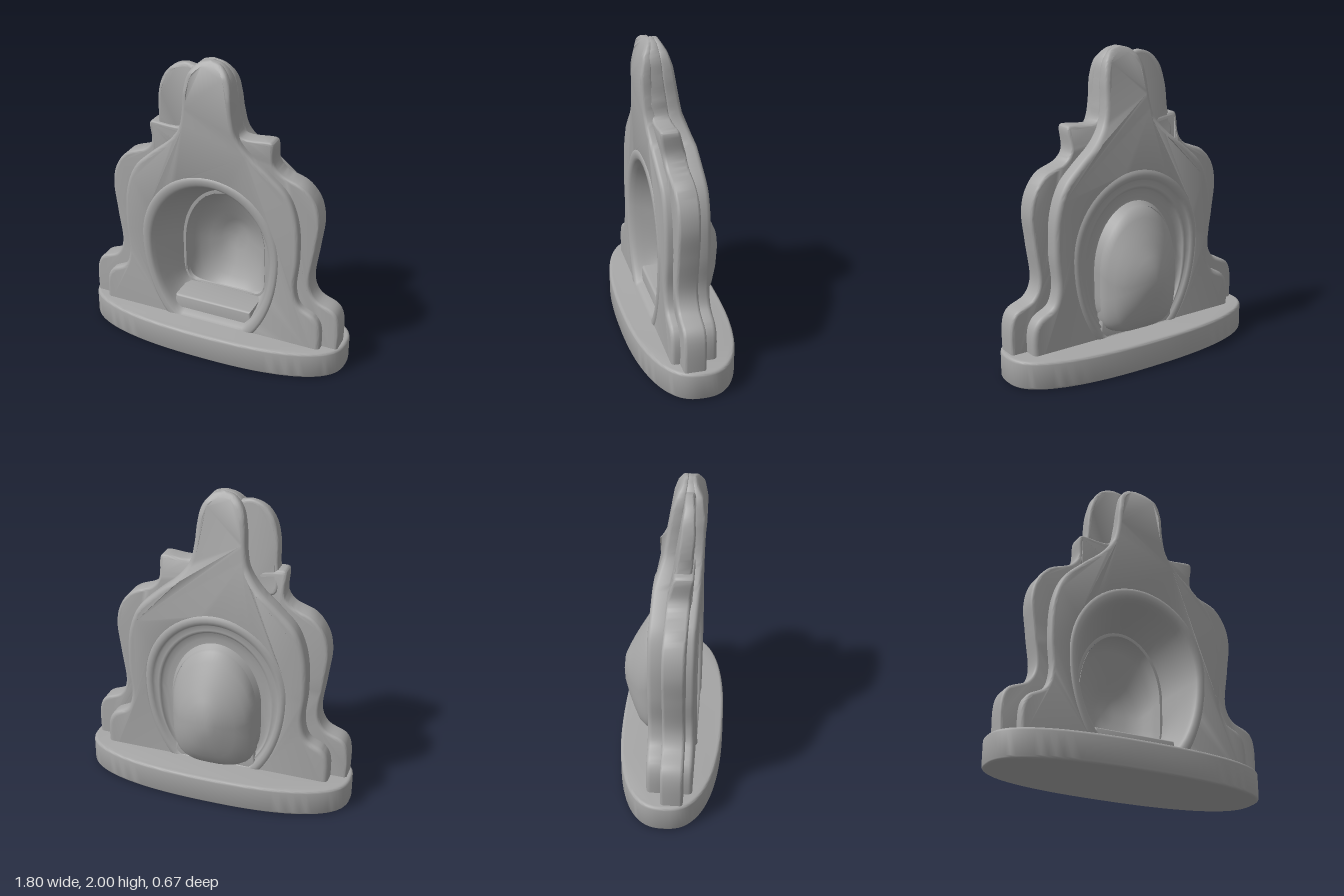
import * as THREE from 'three';
import { toCreasedNormals } from 'three/addons/utils/BufferGeometryUtils.js';

const stone = new THREE.MeshStandardMaterial({ color: 0xa6a6a6, side: THREE.DoubleSide });
stone.name = 'grey stone';
const lerp = THREE.MathUtils.lerp;
const SEG = 64;

// Closed arch outline: elliptical top, lower half squared off by exponent e, flat floor
function arch(rx, cy, top, low, floor, e, cx = 0) {
  const pts = [];
  for (let i = 0; i < SEG; i++) {
    const a = (i / SEG) * Math.PI * 2, c = Math.cos(a), s = Math.sin(a);
    const p = s < 0 ? e : 1;
    const x = Math.sign(c) * Math.abs(c) ** p * rx + cx;
    const y = s >= 0 ? cy + s * (top - cy) : cy - Math.abs(s) ** p * (cy - low);
    pts.push(new THREE.Vector2(x, Math.max(y, floor)));
  }
  return pts;
}

// Niche outline for a half width, blending from the wide mouth to the narrow inner arch
function niche(rx) {
  const t = (0.41 - rx) / 0.125;
  return arch(rx, lerp(0.7, 0.62, t), lerp(1.17, 1.02, t), lerp(0.1, 0.3, t),
    lerp(0.2, 0.3, t), Math.min(1, lerp(1, 0.3, t)));
}

// Skin a run of [outline, z] sections, optionally closed to a tip point
function loft(sections, tip) {
  const pos = [], idx = [];
  for (const [pts, z] of sections) for (const p of pts) pos.push(p.x, p.y, z);
  for (let r = 0; r < sections.length - 1; r++) {
    for (let i = 0; i < SEG; i++) {
      const a = r * SEG + i, b = r * SEG + (i + 1) % SEG;
      idx.push(a, b, a + SEG, b, b + SEG, a + SEG);
    }
  }
  if (tip) {
    const n = pos.length / 3, base = n - SEG;
    pos.push(...tip);
    for (let i = 0; i < SEG; i++) idx.push(base + i, base + (i + 1) % SEG, n);
  }
  const g = new THREE.BufferGeometry();
  g.setAttribute('position', new THREE.Float32BufferAttribute(pos, 3));
  g.setIndex(idx);
  g.computeVertexNormals();
  return g;
}

function curve(points, n) {
  return new THREE.CatmullRomCurve3(points.map(([x, y]) => new THREE.Vector3(x, y, 0)), false, 'centripetal')
    .getPoints(n).map(p => new THREE.Vector2(p.x, p.y));
}

// Piecewise linear lookup
function along(table, y) {
  for (let i = 1; i < table.length; i++) {
    const [y0, v0] = table[i - 1], [y1, v1] = table[i];
    if (y <= y1) return lerp(v0, v1, Math.max(0, (y - y0) / (y1 - y0)));
  }
  return table[table.length - 1][1];
}
const FRONT = [[1.2, 0.17], [1.6, 0.2], [1.8, 0.205], [1.92, 0.185], [2, 0.135]];
const BACK = [[1.2, -0.12], [1.4, -0.105], [1.55, -0.05], [1.7, -0.025], [1.85, 0], [1.93, 0.025], [2, 0.065]];

// Bevelled slab between z0 and z1, drawn in towards the rounded head
function slab(outline, z0, z1, bevel, hole) {
  const shape = new THREE.Shape(outline);
  if (hole) shape.holes.push(new THREE.Path(hole));
  const g = new THREE.ExtrudeGeometry(shape, {
    depth: z1 - z0 - 2 * bevel, bevelThickness: bevel, bevelSize: bevel,
    bevelOffset: -bevel, bevelSegments: 4,
  });
  g.translate(0, 0, z0 + bevel);
  const p = g.attributes.position;
  for (let i = 0; i < p.count; i++) {
    const y = p.getY(i), t = (p.getZ(i) + 0.12) / 0.29;
    if (y > 1.2) p.setZ(i, lerp(along(BACK, y), along(FRONT, y), t));
  }
  return toCreasedNormals(g, 0.7);
}

function mirrored(half, n) {
  const right = curve(half, n);
  const left = right.slice(0, -1).reverse().map(p => new THREE.Vector2(-p.x, p.y));
  return [...right, ...left];
}

export function createModel() {
  const model = new THREE.Group();
  const add = (name, geometry) => {
    const m = new THREE.Mesh(geometry, stone);
    m.name = name;
    model.add(m);
  };

  // Oval plinth
  const oval = [];
  for (let i = 0; i < 96; i++) {
    const a = (i / 96) * Math.PI * 2, c = Math.cos(a), s = Math.sin(a);
    oval.push(new THREE.Vector2(Math.sign(c) * Math.abs(c) ** 0.85 * 0.9, Math.sign(s) * Math.abs(s) ** 0.78 * 0.337));
  }
  const plinth = new THREE.ExtrudeGeometry(new THREE.Shape(oval), {
    depth: 0.145, bevelThickness: 0.02, bevelSize: 0.02, bevelOffset: -0.02, bevelSegments: 4,
  });
  plinth.translate(0, 0, 0.02).rotateX(-Math.PI / 2);
  add('plinth', toCreasedNormals(plinth, 0.7));

  // Three stacked body slabs; the middle one is widest and has square shoulders
  const hole = niche(0.45);
  const wide = mirrored([[0.865, 0.05], [0.865, 0.38], [0.83, 0.45], [0.71, 0.51], [0.665, 0.6], [0.69, 0.85],
    [0.71, 1.05], [0.68, 1.18], [0.6, 1.28], [0.46, 1.34], [0.412, 1.4], [0.412, 1.53], [0.4, 1.548],
    [0.2, 1.55], [0.17, 1.65], [0.152, 1.8], [0.13, 1.91], [0.07, 1.98], [0, 2]], 110);
  const narrow = mirrored([[0.76, 0.05], [0.76, 0.34], [0.72, 0.41], [0.62, 0.47], [0.585, 0.58], [0.6, 0.8],
    [0.585, 1.05], [0.52, 1.22], [0.4, 1.34], [0.26, 1.46], [0.19, 1.56], [0.165, 1.68], [0.155, 1.8],
    [0.13, 1.91], [0.07, 1.98], [0, 2]], 90);
  add('middleSlab', slab(wide, -0.025, 0.115, 0.02, hole));
  add('frontSlab', slab(narrow, 0.07, 0.168, 0.025, hole));
  add('backSlab', slab(narrow, -0.12, 0.0, 0.03, hole));

  // Rounded plate beside the head
  const plate = curve([[-0.1, 1.4], [-0.35, 1.4], [-0.352, 1.6], [-0.345, 1.74], [-0.31, 1.86],
    [-0.25, 1.93], [-0.17, 1.96], [-0.1, 1.95]], 50);
  add('sidePlate', slab(plate, -0.02, 0.095, 0.02));

  // Niche: raised lip around the mouth, then a tapering tunnel
  add('nicheTunnel', loft([[0.48, 0.155], [0.47, 0.171], [0.455, 0.178], [0.43, 0.174], [0.415, 0.16],
    [0.4, 0.13], [0.385, 0.09], [0.355, 0.02], [0.32, -0.05], [0.285, -0.12]].map(([r, z]) => [niche(r), z])));

  // Stepped rings around the niche at the back
  add('backRings', loft([[0.48, -0.11], [0.465, -0.126], [0.445, -0.13], [0.425, -0.122], [0.415, -0.105],
    [0.39, -0.112], [0.375, -0.105], [0.365, -0.085], [0.335, -0.088], [0.32, -0.08], [0.285, -0.085]]
    .map(([r, z]) => [niche(r), z])));

  // Hollow pocket bulging out behind: half width, top, bottom, z, x offset
  const pocket = [[0.285, 1.02, 0.22, -0.08, 0], [0.28, 1.01, 0.21, -0.135, 0], [0.265, 0.95, 0.21, -0.17, 0],
    [0.235, 0.88, 0.23, -0.21, 0], [0.19, 0.8, 0.3, -0.25, 0.01], [0.13, 0.73, 0.38, -0.285, 0.01],
    [0.07, 0.67, 0.48, -0.312, 0]];
  add('backPocket', loft(pocket.map(([rx, top, low, z, cx], i) =>
    [arch(rx, lerp(low, top, 0.5), top, low, low, lerp(0.3, 0.9, i / 6), cx), z]), [-0.01, 0.57, -0.322]));

  // Sill across the foot of the niche
  const sill = [[-0.29, 0.15], [0.29, 0.15], [0.27, 0.3], [-0.27, 0.3]].map(([x, y]) => new THREE.Vector2(x, y));
  add('sill', slab(sill, -0.12, 0.12, 0.02));

  return model;
}
